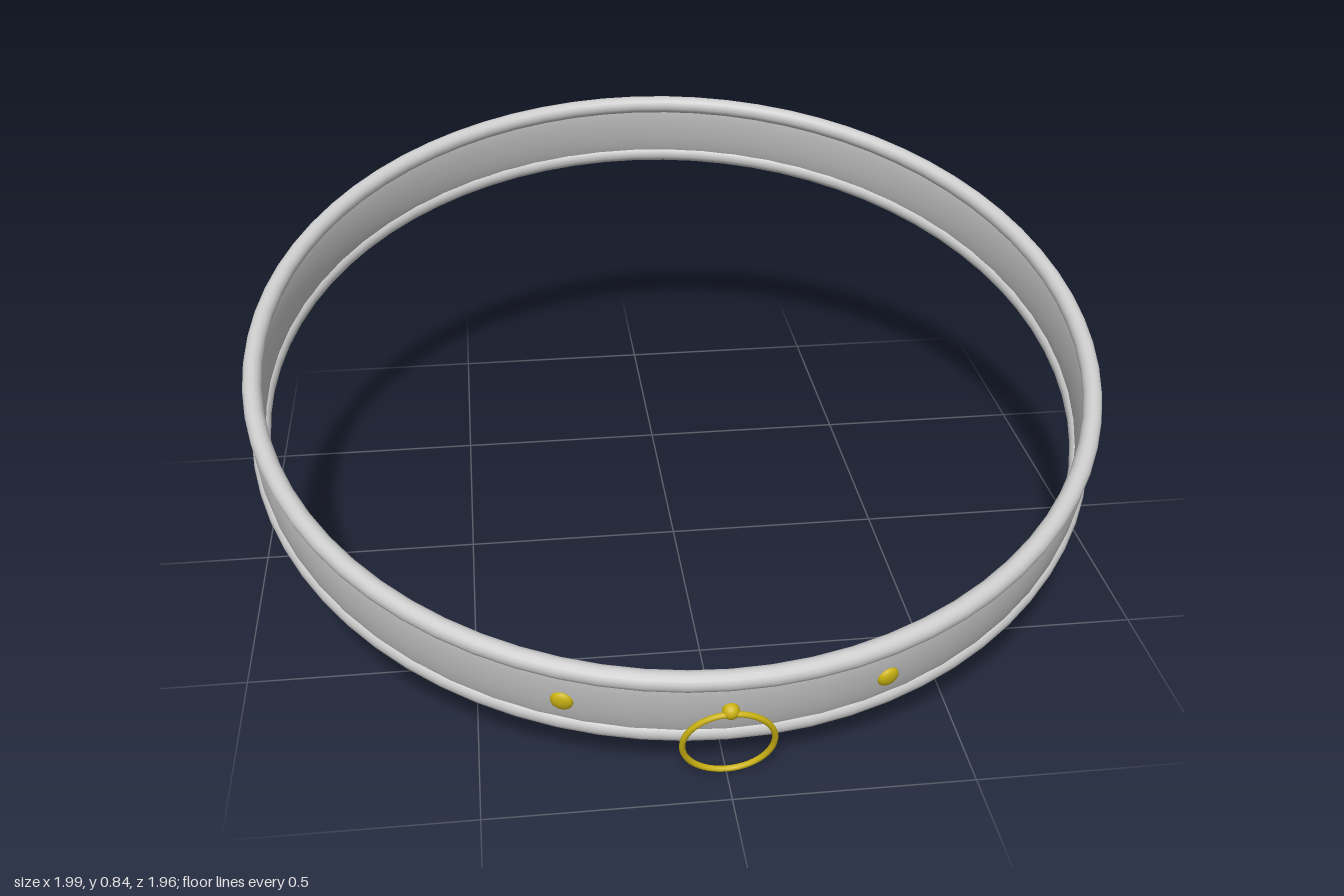
import * as THREE from 'three';

const TILT = 0.287;
const RADIUS = 0.975;

export function createModel() {
  const model = new THREE.Group();
  const grey = new THREE.MeshStandardMaterial({ color: 0xcccccc });
  const gold = new THREE.MeshStandardMaterial({ color: 0xccb414 });

  // Everything is built level, then tilted as one
  const collar = new THREE.Group();
  collar.name = 'collar';
  collar.position.y = 0.469;
  collar.rotation.x = TILT;
  model.add(collar);

  const add = (name, geometry, material, x = 0, y = 0, z = 0) => {
    const mesh = new THREE.Mesh(geometry, material);
    mesh.name = name;
    mesh.position.set(x, y, z);
    collar.add(mesh);
    return mesh;
  };

  // Band: a thin, softly bulging cross-section swept round
  const section = [];
  for (let i = 0; i <= 24; i++) {
    const a = -Math.PI / 2 + (i / 24) * Math.PI * 2;
    section.push(new THREE.Vector2(RADIUS + 0.017 * Math.cos(a), 0.092 * Math.sin(a)));
  }
  add('band', new THREE.LatheGeometry(section, 64), grey);

  // Rolled edges
  for (const side of [1, -1]) {
    const rim = add(side > 0 ? 'upperRim' : 'lowerRim',
      new THREE.TorusGeometry(RADIUS, 0.022, 14, 72), grey, 0, side * 0.081, 0);
    rim.rotation.x = Math.PI / 2;
  }

  // Domed studs either side of the front
  for (const side of [1, -1]) {
    const angle = side * 0.338;
    const stud = add(side > 0 ? 'leftStud' : 'rightStud',
      new THREE.SphereGeometry(0.024, 20, 14), gold,
      Math.sin(angle) * 0.992, 0, Math.cos(angle) * 0.992);
    stud.scale.z = 0.5;
    stud.rotation.y = angle;
  }

  // Hanging ring and the stud that holds it
  add('ringStud', new THREE.SphereGeometry(0.018, 20, 14), gold, 0, 0.01, 0.997);
  add('hangingRing', new THREE.TorusGeometry(0.094, 0.0065, 10, 48), gold, 0, -0.085, 1.005);

  return model;
}
